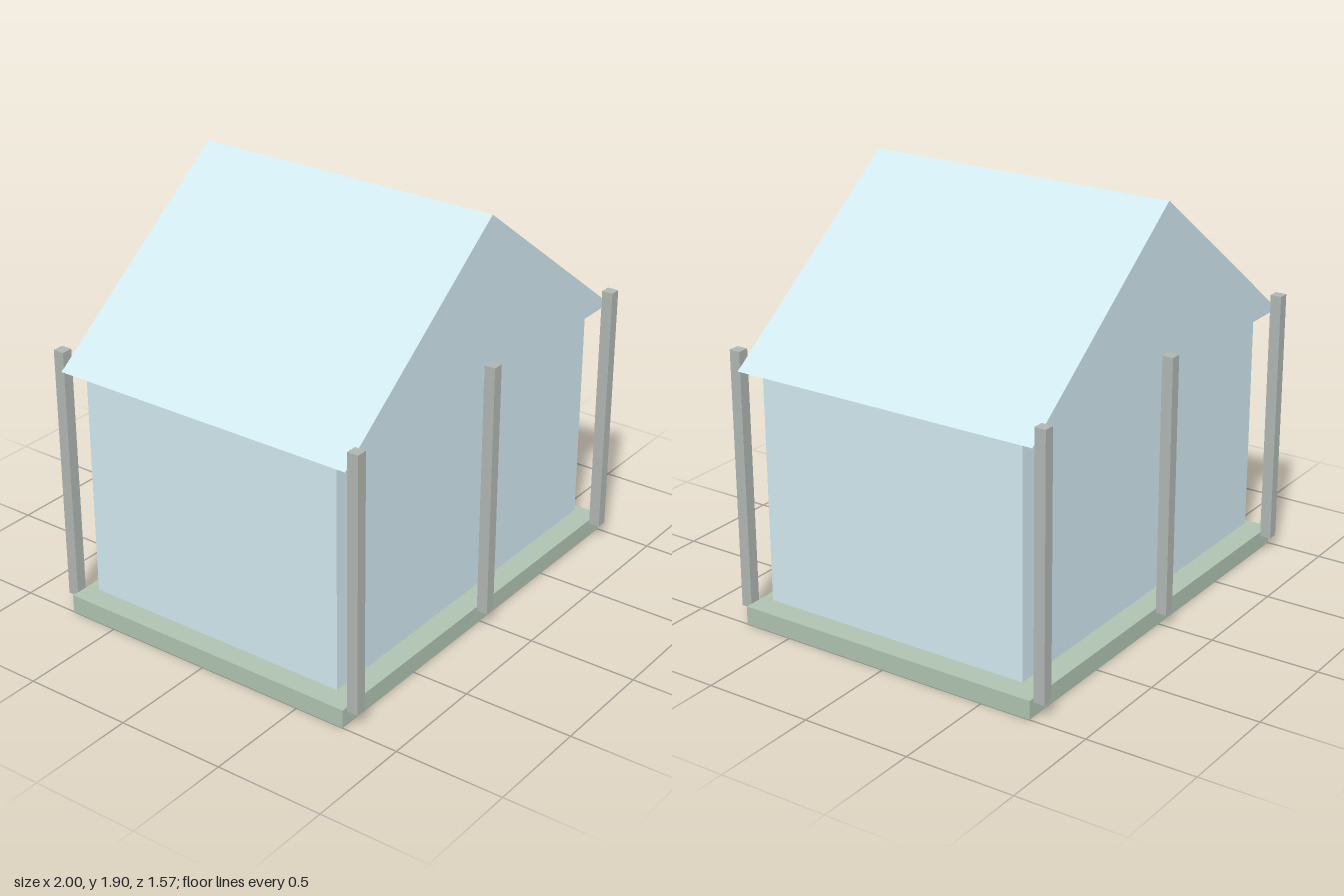
import * as THREE from 'three';

const material = (color) => new THREE.MeshStandardMaterial({ color, flatShading: true });

export function createModel() {
  const group = new THREE.Group();
  const glass = material(0xd0e8ee);
  const stone = material(0xaec2b0);
  const wood = material(0xafb6b2);

  // Box given by its size, centre and bottom height
  const box = (name, mat, [w, h, d], x, bottom, z) => {
    const mesh = new THREE.Mesh(new THREE.BoxGeometry(w, h, d), mat);
    mesh.name = name;
    mesh.position.set(x, bottom + h / 2, z);
    group.add(mesh);
  };

  // Floor slab and the room just above it
  box('floorSlab', stone, [2, 0.085, 1.47], 0, 0, 0);
  box('walls', glass, [1.85, 1.055, 1.3], 0, 0.108, 0);

  // Gabled roof, a triangular prism along z
  const gable = new THREE.Shape([
    new THREE.Vector2(-0.985, 1.163),
    new THREE.Vector2(0.985, 1.163),
    new THREE.Vector2(0, 1.9),
  ]);
  const roofGeometry = new THREE.ExtrudeGeometry(gable, { depth: 1.47, bevelEnabled: false });
  roofGeometry.translate(0, 0, -0.735);
  const roof = new THREE.Mesh(roofGeometry, glass);
  roof.name = 'roof';
  group.add(roof);

  // Three posts along the front and three along the back
  for (const [side, z] of [['front', 0.76], ['back', -0.76]]) {
    for (const [place, x] of [['Right', -0.945], ['Middle', 0], ['Left', 0.945]]) {
      box(`${side}${place}Post`, wood, [0.05, 1.18, 0.052], x, 0.065, z);
    }
  }
  return group;
}
